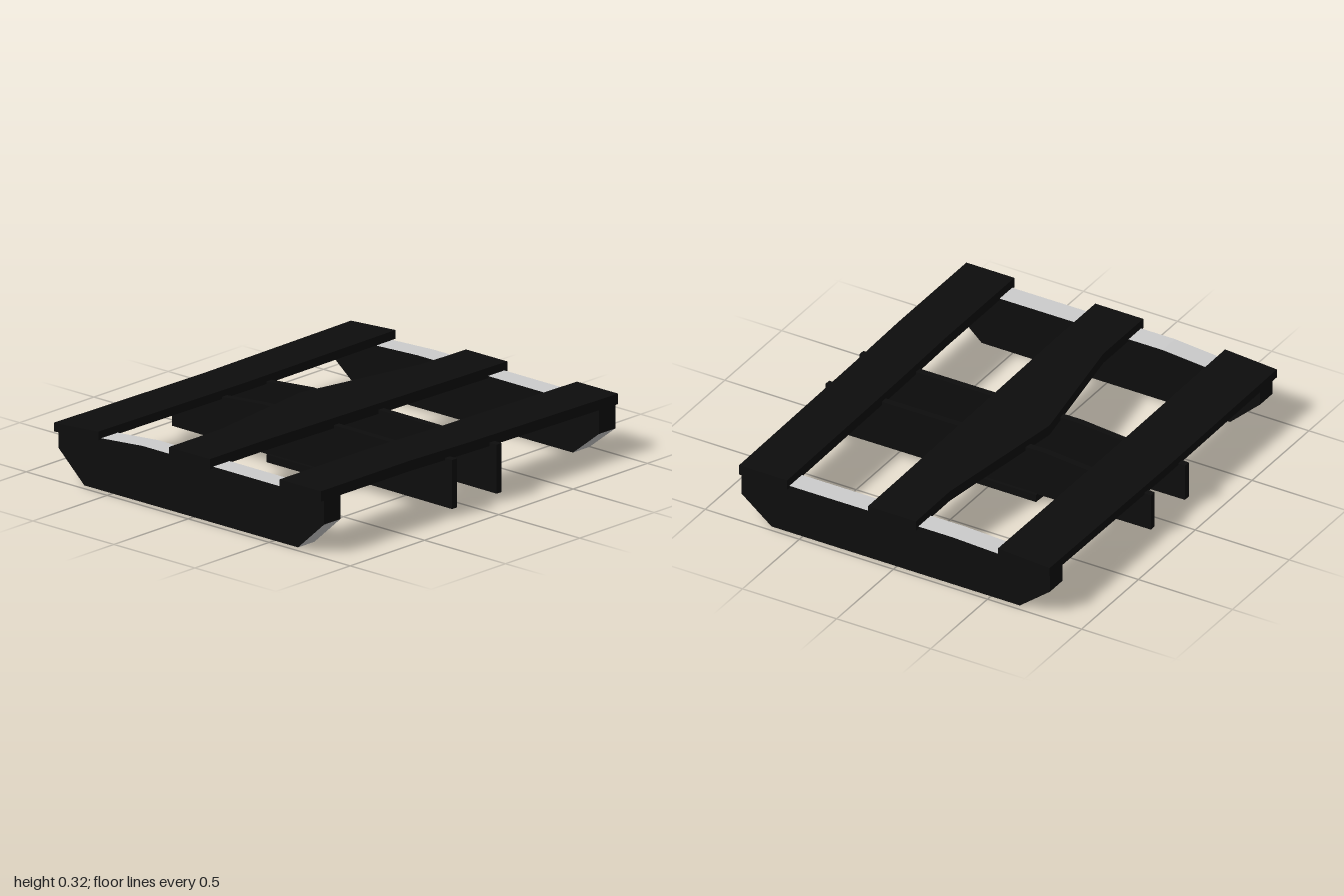
import * as THREE from 'three';

const black = new THREE.MeshStandardMaterial({ color: 0x0d0d0d, flatShading: true });
const grey = new THREE.MeshStandardMaterial({ color: 0xcccccc, flatShading: true });

function addMesh(parent, name, geometry, material) {
  const mesh = new THREE.Mesh(geometry, material);
  mesh.name = name;
  parent.add(mesh);
  return mesh;
}

// Board cut from an x-y outline, centred on z
function board(points, thickness, z) {
  const shape = new THREE.Shape(points.map(([x, y]) => new THREE.Vector2(x, y)));
  const geo = new THREE.ExtrudeGeometry(shape, { depth: thickness, bevelEnabled: false });
  return geo.translate(0, 0, z - thickness / 2).toNonIndexed?.() ?? geo;
}

// Keep only the triangles whose normal passes the test
function pickFaces(geo, test) {
  const p = geo.attributes.position;
  const n = geo.attributes.normal;
  const out = [];
  for (let i = 0; i < p.count; i += 3) {
    if (!test(n.getY(i))) continue;
    for (let k = i; k < i + 3; k++) out.push(p.getX(k), p.getY(k), p.getZ(k));
  }
  const result = new THREE.BufferGeometry();
  result.setAttribute('position', new THREE.Float32BufferAttribute(out, 3));
  result.computeVertexNormals();
  return result;
}

// Plank lofted along z; each section is [z, xMin, xMax, top at xMin, top at xMax]
function plank(sections, thickness) {
  const pos = [];
  const index = [];
  for (const [z, x0, x1, y0, y1] of sections) {
    pos.push(x0, y0 - thickness, z, x1, y1 - thickness, z, x1, y1, z, x0, y0, z);
  }
  const last = (sections.length - 1) * 4;
  for (let s = 0; s < last; s += 4) {
    for (let k = 0; k < 4; k++) {
      const a = s + k, b = s + (k + 1) % 4;
      index.push(a, a + 4, b, b, a + 4, b + 4);
    }
  }
  // sections run from back (-z) to front (+z)
  index.push(0, 2, 1, 0, 3, 2, last, last + 1, last + 2, last, last + 2, last + 3);
  const indexed = new THREE.BufferGeometry();
  indexed.setAttribute('position', new THREE.Float32BufferAttribute(pos, 3));
  // reverse the winding of the wall faces so they look outward
  for (let i = 0; i < index.length - 12; i += 3) {
    [index[i + 1], index[i + 2]] = [index[i + 2], index[i + 1]];
  }
  indexed.setIndex(index);
  const geo = indexed.toNonIndexed();
  geo.computeVertexNormals();
  return geo;
}

export function createModel() {
  const model = new THREE.Group();
  model.name = 'woodenPallet';

  // Skids under both ends, dark boards with pale cut edges
  for (const [name, z, drop] of [['frontSkid', 0.925, 0], ['backSkid', -0.925, 0.02]]) {
    const skid = new THREE.Group();
    skid.name = name;
    const geo = board([
      [-0.66, 0.01], [0.66, 0.01], [0.82, 0.155 - drop], [0.82, 0.277 - drop],
      [-0.3, 0.28 - drop], [-0.82, 0.238], [-0.82, 0.155 - drop],
    ], 0.11, z);
    addMesh(skid, name + 'Faces', pickFaces(geo, (ny) => Math.abs(ny) < 0.3), black);
    addMesh(skid, name + 'CutEdges', pickFaces(geo, (ny) => Math.abs(ny) >= 0.3), grey);
    model.add(skid);
  }

  // Pair of upright boards across the middle
  for (const [name, z] of [['frontCrossBeam', 0.15], ['backCrossBeam', -0.15]]) {
    addMesh(model, name, board([
      [-0.865, 0.05], [0.865, 0.04], [0.865, 0.275], [-0.3, 0.28], [-0.865, 0.232],
    ], 0.034, z), black);
  }

  // Slightly bowed plate beneath the cross beams
  addMesh(model, 'bottomPlate', plank([
    [-0.185, -0.265, 0.265, 0.052, 0.052],
    [0, -0.265, 0.265, 0.04, 0.042],
    [0.185, -0.265, 0.265, 0.052, 0.052],
  ], 0.037), black);

  // Three deck slats resting on the skids
  addMesh(model, 'rightSlat', plank([
    [-1, -0.83, -0.555, 0.275, 0.292],
    [0, -0.83, -0.555, 0.267, 0.288],
    [1, -0.83, -0.555, 0.277, 0.296],
  ], 0.042), black);
  addMesh(model, 'centreSlat', plank([
    [-1, -0.12, 0.135, 0.297, 0.297],
    [-0.7, -0.12, 0.135, 0.3, 0.3],
    [0, -0.225, 0.135, 0.313, 0.31],
    [0.65, -0.12, 0.135, 0.32, 0.32],
    [1, -0.12, 0.135, 0.32, 0.32],
  ], 0.05), black);
  addMesh(model, 'leftSlat', plank([
    [-1, 0.565, 0.82, 0.297, 0.297],
    [0, 0.565, 0.82, 0.31, 0.31],
    [0.4, 0.565, 0.82, 0.32, 0.32],
    [1, 0.565, 0.82, 0.32, 0.32],
  ], 0.05), black);

  return model;
}
